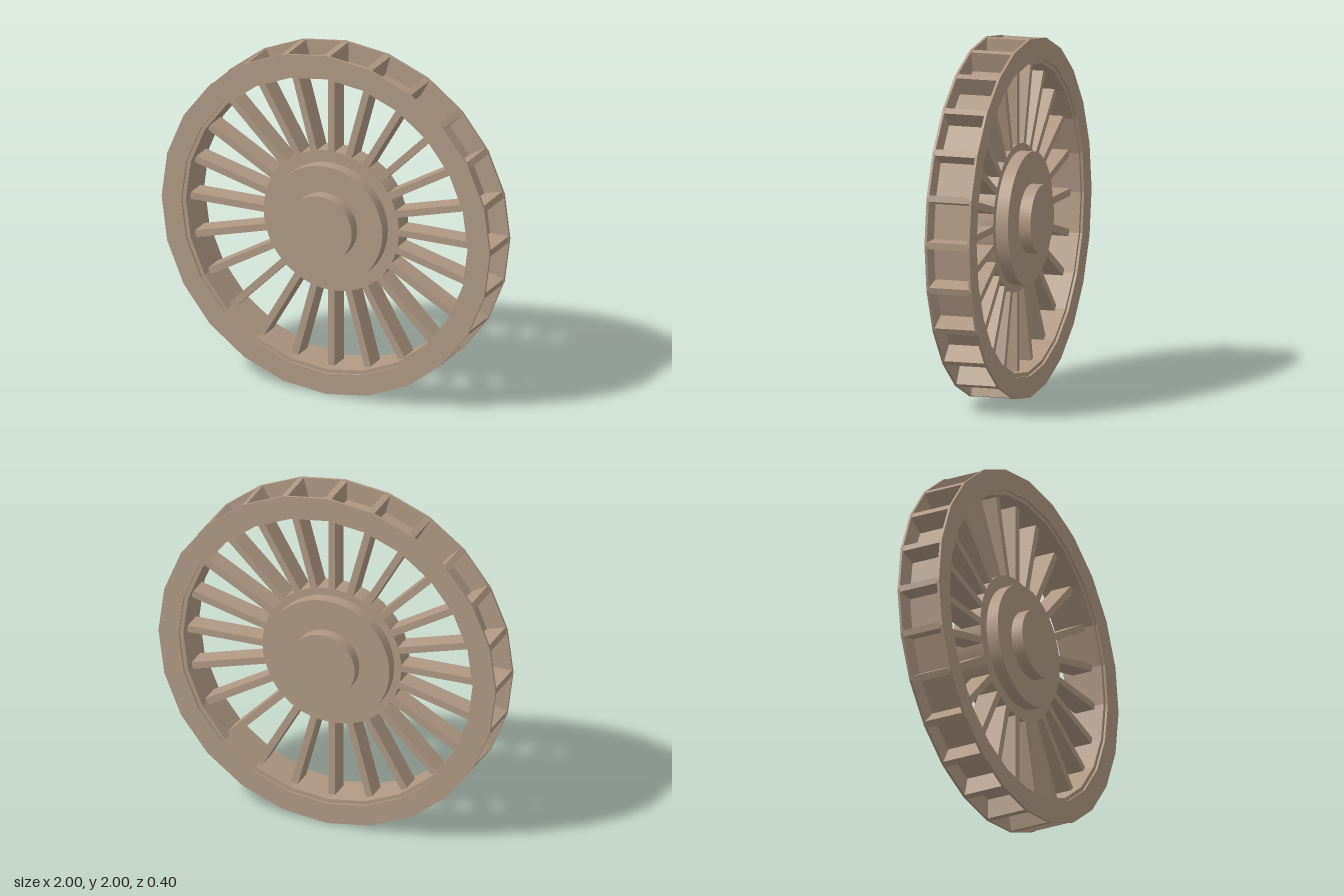
import * as THREE from 'three';

const SIDES = 24;
const STEP = (Math.PI * 2) / SIDES;

// Regular polygon outline, counterclockwise, with a corner straight up
function polygon(radius, PathType) {
  const points = [];
  for (let i = 0; i < SIDES; i++) {
    points.push(new THREE.Vector2(-Math.sin(i * STEP) * radius, Math.cos(i * STEP) * radius));
  }
  return new PathType(points);
}

// Flat-sided ring, centred on z
function ringGeometry(outer, inner, depth) {
  const shape = polygon(outer, THREE.Shape);
  shape.holes.push(polygon(inner, THREE.Path));
  const geometry = new THREE.ExtrudeGeometry(shape, { depth, bevelEnabled: false });
  geometry.translate(0, 0, -depth / 2);
  return geometry;
}

export function createModel() {
  const wood = new THREE.MeshStandardMaterial({ color: 0xae9884 });
  wood.name = 'weathered wood';

  const model = new THREE.Group();
  model.name = 'waterWheel';
  const wheel = new THREE.Group();
  wheel.name = 'wheel';
  wheel.position.y = 1;
  wheel.rotation.y = 0.005;
  model.add(wheel);

  const add = (name, geometry, parent = wheel) => {
    const mesh = new THREE.Mesh(geometry, wood);
    mesh.name = name;
    parent.add(mesh);
    return mesh;
  };

  // Two side walls of the rim
  for (const [name, side] of [['frontRimWall', 1], ['backRimWall', -1]]) {
    add(name, ringGeometry(1, 0.88, 0.014)).position.z = side * 0.124;
  }

  // Floor of the buckets
  add('rimFloor', ringGeometry(0.885, 0.858, 0.236));

  // Hub: recessed collar, a disc on each side (the back one wider) and axle
  const hubParts = [
    ['hubCollar', 0.412, 0.12, 0],
    ['frontHubDisc', 0.345, 0.131, 0.0655],
    ['backHubDisc', 0.37, 0.131, -0.0655],
    ['axle', 0.192, 0.4, 0],
  ];
  for (const [name, radius, depth, z] of hubParts) {
    const geometry = new THREE.CylinderGeometry(radius, radius, depth, 48).rotateX(Math.PI / 2);
    add(name, geometry).position.z = z;
  }

  // Spokes, each continued by a bucket divider between the rim walls
  const spoke = new THREE.BoxGeometry(0.04, 0.48, 0.12).translate(0, 0.63, 0);
  const divider = new THREE.BoxGeometry(0.037, 0.122, 0.236).translate(0, 0.935, 0);
  for (let i = 0; i < SIDES; i++) {
    const arm = new THREE.Group();
    arm.name = 'arm' + (i + 1);
    arm.rotation.z = i * STEP;
    add('spoke', spoke, arm);
    add('bucketDivider', divider, arm);
    wheel.add(arm);
  }

  return model;
}
